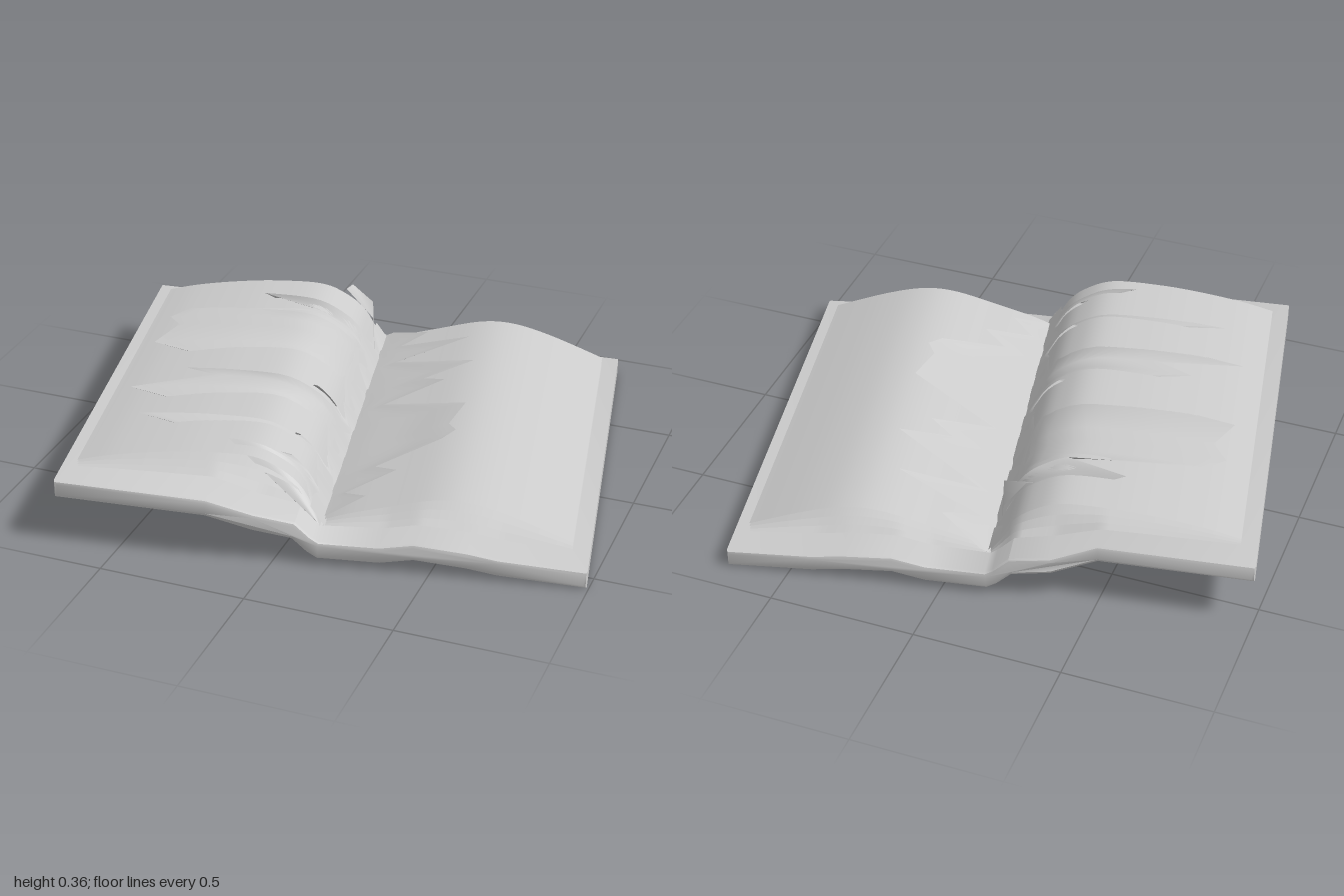
import * as THREE from 'three';
import { toCreasedNormals } from 'three/addons/utils/BufferGeometryUtils.js';

const solid = new THREE.MeshStandardMaterial({ color: 0xcccccc });
const paper = new THREE.MeshStandardMaterial({ color: 0xcccccc, side: THREE.DoubleSide });

// Profiles across the book: [across, height]
const coverBottom = [[-0.866, 0.172], [-0.36, 0.165], [-0.21, 0.112], [-0.08, 0.092], [-0.03, 0.045],
  [0, 0.026], [0.2, 0.028], [0.31, 0.05], [0.48, 0.036], [0.58, 0.02], [0.866, 0.004]];
const leftTop = [[-0.81, 0.262], [-0.7, 0.29], [-0.55, 0.315], [-0.4, 0.33], [-0.23, 0.33],
  [-0.13, 0.288], [-0.07, 0.235], [-0.03, 0.165], [0, 0.115]];
const rightTop = [[0, 0.115], [0.08, 0.145], [0.2, 0.18], [0.36, 0.222], [0.48, 0.223], [0.62, 0.185], [0.81, 0.11]];

const COVER = 0.06;

// Linear lookup of height along a profile
function lookup(profile, u) {
  let i = 1;
  while (i < profile.length - 1 && profile[i][0] < u) i++;
  const [a, b] = [profile[i - 1], profile[i]];
  const t = THREE.MathUtils.clamp((u - a[0]) / (b[0] - a[0]), 0, 1);
  return a[1] + (b[1] - a[1]) * t;
}

function smooth(profile) {
  const curve = new THREE.SplineCurve(profile.map(p => new THREE.Vector2(...p)));
  return curve.getPoints(60).map(p => [p.x, p.y]);
}

// Surface from a rule that returns [x, y, z] for row i and column j
function grid(rows, cols, rule) {
  const pos = [], index = [];
  for (let i = 0; i <= rows; i++) for (let j = 0; j <= cols; j++) pos.push(...rule(i, j));
  for (let i = 0; i < rows; i++) for (let j = 0; j < cols; j++) {
    const a = i * (cols + 1) + j, b = a + cols + 1;
    index.push(a, b, a + 1, b, b + 1, a + 1);
  }
  const g = new THREE.BufferGeometry();
  g.setAttribute('position', new THREE.Float32BufferAttribute(pos, 3));
  g.setIndex(index);
  g.computeVertexNormals();
  return g;
}

function add(group, name, geometry, material) {
  const mesh = new THREE.Mesh(geometry, material);
  mesh.name = name;
  group.add(mesh);
}

// Bent cover board with softened edges
function coverGeometry() {
  const bevel = 0.012, shape = new THREE.Shape();
  const inset = u => THREE.MathUtils.clamp(u, -0.866 + bevel, 0.866 - bevel);
  const lower = coverBottom.map(([u, y]) => new THREE.Vector2(inset(u), y + bevel));
  const upper = coverBottom.map(([u, y]) => new THREE.Vector2(inset(u), y + COVER - bevel)).reverse();
  shape.setFromPoints([...lower, ...upper]);
  const g = new THREE.ExtrudeGeometry(shape, { depth: 1.5 - 2 * bevel, bevelEnabled: true,
    bevelThickness: bevel, bevelSize: bevel, bevelSegments: 2 });
  g.translate(0, 0, -0.75 + bevel);
  // slight skew of the boards beside the spine
  const skew = [[-0.75, 0], [-0.36, 0.026], [-0.2, 0.002], [0, 0]];
  const p = g.attributes.position;
  for (let i = 0; i < p.count; i++) p.setZ(i, p.getZ(i) + lookup(skew, p.getX(i)));
  return toCreasedNormals(g, 0.7);
}

// Whole page lying a fraction f of the way from cover to top page
function pageGeometry(profile, f) {
  const n = 40, u0 = profile[0][0], u1 = profile.at(-1)[0];
  return grid(1, n, (i, j) => {
    const u = u0 + (u1 - u0) * j / n;
    const base = lookup(coverBottom, u) + COVER + 0.004;
    return [u, base + (lookup(profile, u) - base) * f, i ? -0.65 : 0.65];
  });
}

// Torn page: bound at the spine, ragged along the given outline
function tornGeometry(profile, outline, lift) {
  const cols = 16;
  return grid(outline.length - 1, cols, (i, j) => {
    const [u, v] = outline[i], t = j / cols;
    return [u * t, lookup(profile, u * t) + 0.005 + lift * t * t * Math.abs(u), v];
  });
}

const leftTear = [[-0.03, -0.51], [-0.42, -0.5], [-0.22, -0.42], [-0.67, -0.38], [-0.73, -0.32], [-0.68, -0.25],
  [-0.74, -0.12], [-0.12, 0.07], [-0.57, 0.1], [-0.46, 0.15], [-0.74, 0.22], [-0.12, 0.41], [-0.66, 0.42],
  [-0.12, 0.55], [-0.32, 0.58], [-0.01, 0.7]];
const rightTear = [[0.03, -0.68], [0.17, -0.59], [0.08, -0.53], [0.34, -0.46], [0.08, -0.4], [0.38, -0.26],
  [0.21, -0.2], [0.29, -0.15], [0.09, -0.07], [0.39, 0.06], [0.35, 0.2], [0.38, 0.25], [0.34, 0.3],
  [0.13, 0.39], [0.21, 0.45], [0.05, 0.52], [0.13, 0.58], [0.005, 0.64]];

export function createModel() {
  const model = new THREE.Group();
  model.name = 'openBook';
  add(model, 'cover', coverGeometry(), solid);

  const sides = { left: smooth(leftTop), right: smooth(rightTop) };
  for (const [side, profile] of Object.entries(sides))
    [0.12, 0.4, 0.7, 1].forEach((f, k) => add(model, `${side}Page${k + 1}`, pageGeometry(profile, f), paper));

  add(model, 'leftTornPage', tornGeometry(sides.left, leftTear, 0.035), paper);
  add(model, 'rightTornPage', tornGeometry(sides.right, rightTear, 0.09), paper);

  // Ragged stubs standing along the spine
  const stubs = grid(22, 1, (i, j) => {
    const v = -0.67 + i * 1.35 / 22, h = 0.045 + 0.035 * Math.sin(i * 2.4) + 0.02 * Math.sin(i * 5.1);
    return j ? [-0.012 - h * 0.45, 0.13 + h, v] : [0.012, 0.11, v];
  });
  add(model, 'spineStubs', stubs, paper);

  // Loose scrap curling up at the back of the spine
  const scrap = [[[-0.02, 0.13, -0.54], [-0.01, 0.13, -0.48]], [[-0.04, 0.28, -0.63], [-0.02, 0.28, -0.5]],
    [[-0.11, 0.36, -0.6], [-0.13, 0.35, -0.58]]];
  add(model, 'looseScrap', grid(2, 1, (i, j) => scrap[i][j]), paper);

  // The book lies turned on the ground
  model.rotation.y = 0.195;
  return model;
}
